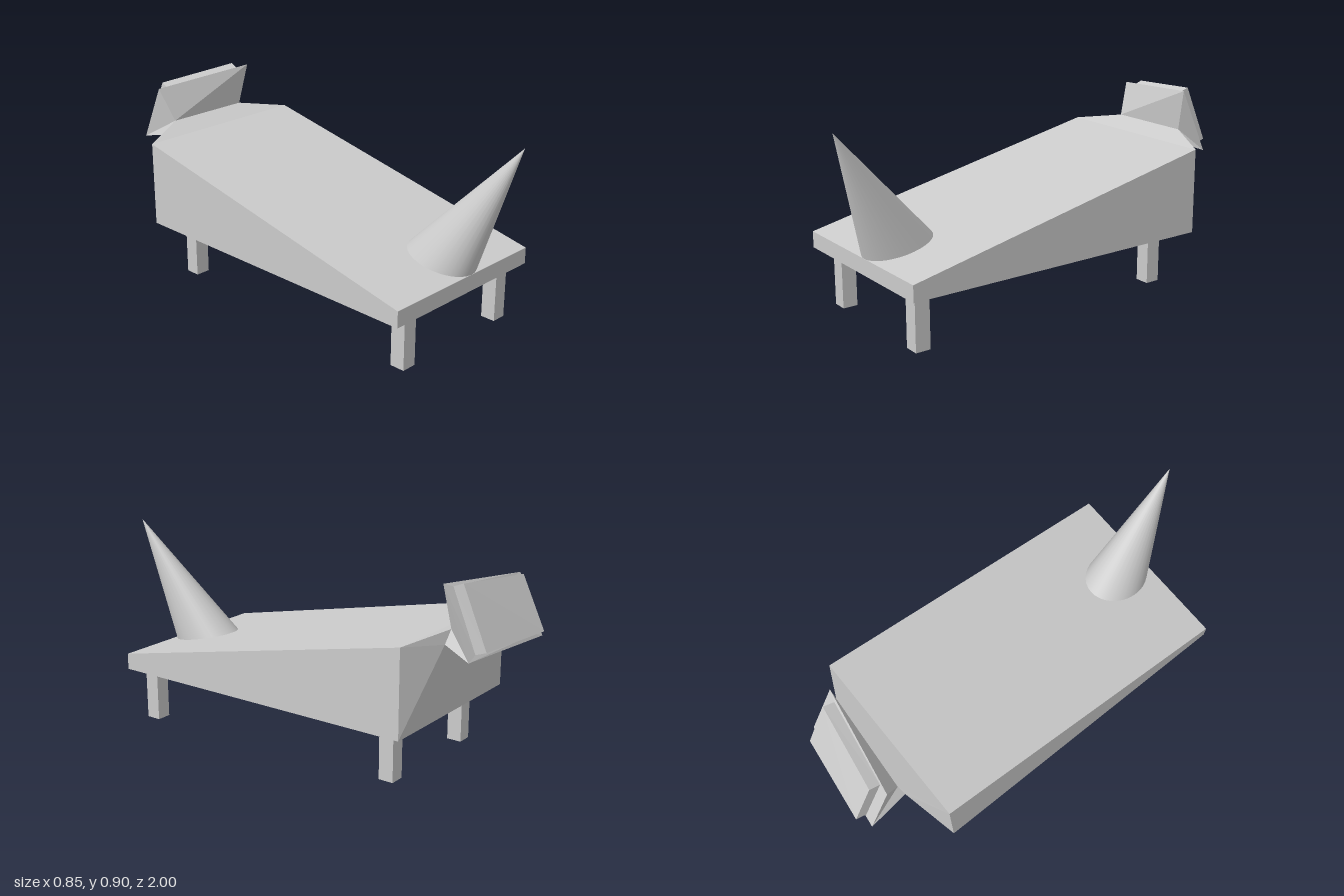
import * as THREE from 'three';

const flat = new THREE.MeshStandardMaterial({ color: 0xcccccc, flatShading: true });
const smooth = new THREE.MeshStandardMaterial({ color: 0xcccccc });

// Four-cornered cross-section: bottom left, bottom right, top right, top left (seen from +z)
const section = (bottomX, bottomY, bottomZ, topX, topY, topZ) => [
  [-bottomX, bottomY, bottomZ], [bottomX, bottomY, bottomZ],
  [topX, topY, topZ], [-topX, topY, topZ],
];

// Skin the sections from front to back and close both ends
function loft(rings) {
  const pos = [];
  const tri = (...corners) => corners.forEach((p) => pos.push(...p));
  const first = rings[0], last = rings[rings.length - 1];
  tri(first[0], first[1], first[2]);
  tri(first[0], first[2], first[3]);
  for (let i = 0; i < rings.length - 1; i++) {
    for (let k = 0; k < 4; k++) {
      const n = (k + 1) % 4;
      const a = rings[i][k], b = rings[i][n], c = rings[i + 1][n], d = rings[i + 1][k];
      // mirror the diagonal on the -x side
      if (k === 3) { tri(a, c, b); tri(a, d, c); }
      else { tri(a, d, b); tri(b, d, c); }
    }
  }
  tri(last[0], last[2], last[1]);
  tri(last[0], last[3], last[2]);
  const geo = new THREE.BufferGeometry();
  geo.setAttribute('position', new THREE.Float32BufferAttribute(pos, 3));
  geo.computeVertexNormals();
  return geo;
}

export function createModel() {
  const group = new THREE.Group();
  const add = (name, geo, material) => {
    const mesh = new THREE.Mesh(geo, material);
    mesh.name = name;
    group.add(mesh);
    return mesh;
  };

  // Wedge body, tapering to a neck, flaring to a tilted head with a raised back panel
  add('bodyAndHead', loft([
    section(0.425, 0.25, 0.83, 0.425, 0.325, 0.83),
    section(0.425, 0.25, -0.685, 0.425, 0.645, -0.685),
    section(0.235, 0.625, -0.775, 0.205, 0.685, -0.785),
    [[-0.248, 0.578, -0.965], [0.262, 0.578, -0.9], [0.25, 0.878, -0.768], [-0.243, 0.838, -0.85]],
    [[-0.195, 0.597, -0.953], [0.205, 0.597, -0.898], [0.2, 0.86, -0.785], [-0.19, 0.827, -0.847]],
    [[-0.19, 0.617, -1.0], [0.21, 0.617, -0.95], [0.207, 0.88, -0.835], [-0.185, 0.848, -0.895]],
  ]), flat);

  // Leaning tail cone: an oval base on the slope, sheared towards its tip
  const cone = new THREE.ConeGeometry(1, 1, 32, 1);
  cone.translate(0, 0.5, 0);
  const p = cone.attributes.position;
  const tip = new THREE.Vector3(0.125, 0.9, 0.995);
  const slope = (0.645 - 0.325) / (0.83 + 0.685);
  for (let i = 0; i < p.count; i++) {
    const t = p.getY(i);
    const z = 0.67 + 0.16 * p.getZ(i);
    const base = new THREE.Vector3(0.04 + 0.13 * p.getX(i), 0.325 + (0.83 - z) * slope, z);
    base.lerp(tip, t);
    p.setXYZ(i, base.x, base.y, base.z);
  }
  cone.computeVertexNormals();
  add('tail', cone, smooth);

  // Four square legs
  const legs = [
    ['frontLeftLeg', 0.32, 0.748], ['frontRightLeg', -0.29, 0.748],
    ['backLeftLeg', 0.273, -0.552], ['backRightLeg', -0.29, -0.552],
  ];
  for (const [name, x, z] of legs) {
    add(name, new THREE.BoxGeometry(0.07, 0.25, 0.07), flat).position.set(x, 0.125, z);
  }
  return group;
}
